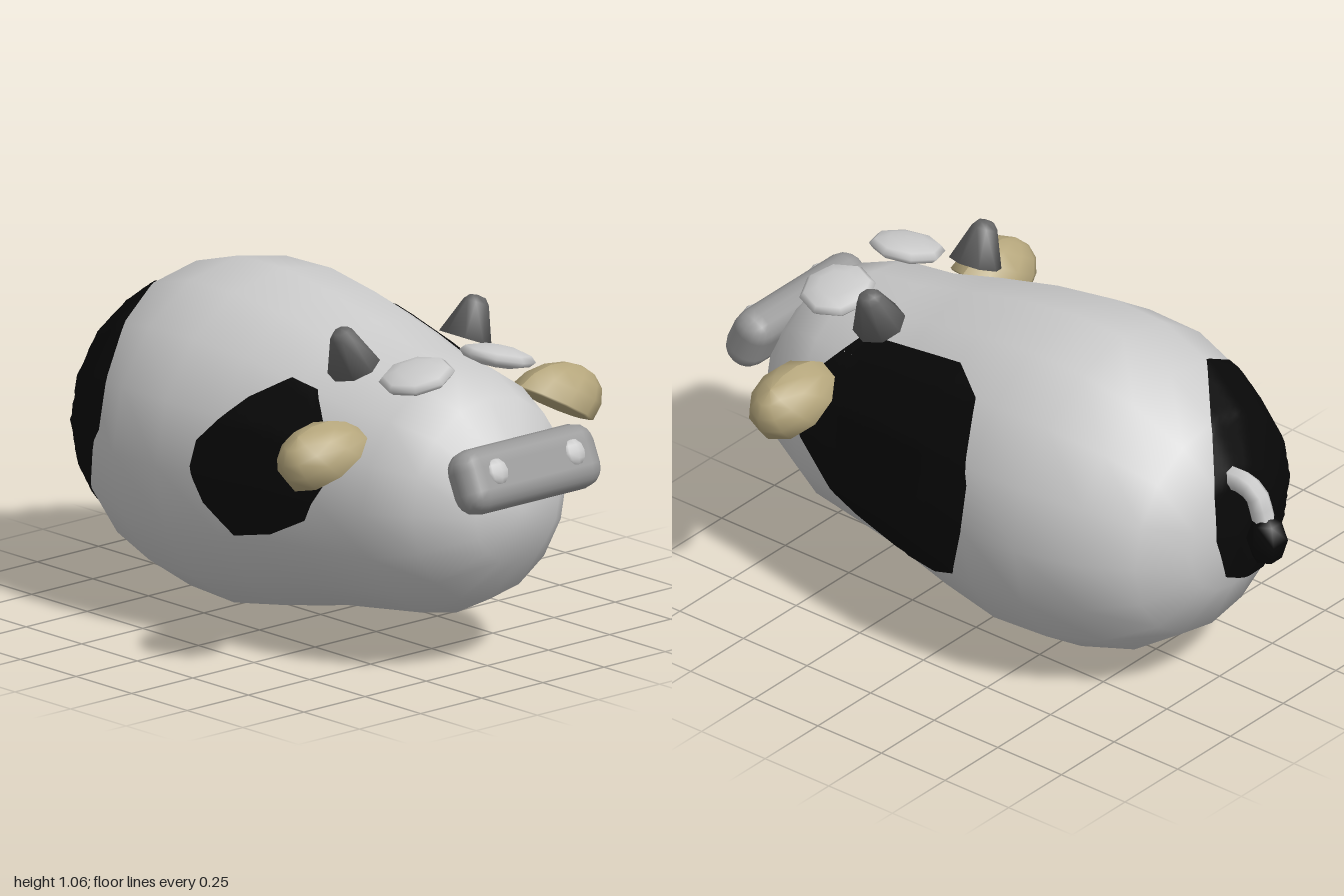
import * as THREE from 'three';
import { mergeVertices } from 'three/addons/utils/BufferGeometryUtils.js';
import { RoundedBoxGeometry } from 'three/addons/geometries/RoundedBoxGeometry.js';

const mat = (color) => new THREE.MeshStandardMaterial({ color, side: THREE.DoubleSide });
const GREY = mat(0xcccccc);
const SNOUT = mat(0x999999);
const HORN = mat(0x666666);
const EAR = mat(0xb5a67c);
const BLACK = mat(0x080808);

function part(parent, name, geometry, material, x = 0, y = 0, z = 0) {
  const mesh = new THREE.Mesh(geometry, material);
  mesh.name = name;
  mesh.position.set(x, y, z);
  parent.add(mesh);
  return mesh;
}

// Body cross-sections from nose to rump: z, half width, bottom y, top y
const RINGS = [
  [0.915, 0, 0.53, 0.53], [0.885, 0.17, 0.36, 0.69], [0.76, 0.315, 0.215, 0.85],
  [0.61, 0.385, 0.14, 0.91], [0.43, 0.41, 0.115, 0.93], [0.25, 0.445, 0.09, 0.98],
  [0.04, 0.487, 0.04, 1.03], [-0.17, 0.52, 0.003, 1.06], [-0.37, 0.516, 0.015, 1.055],
  [-0.56, 0.457, 0.07, 0.998], [-0.72, 0.365, 0.18, 0.888], [-0.805, 0.2, 0.35, 0.73],
  [-0.83, 0, 0.53, 0.53],
];
const SIDES = 16;

function bodyGeometry() {
  const pos = [], index = [];
  RINGS.forEach(([z, w, lo, hi], i) => {
    for (let j = 0; j < SIDES; j++) {
      const t = (j / SIDES) * Math.PI * 2;
      pos.push(w * Math.cos(t), (lo + hi) / 2 + ((hi - lo) / 2) * Math.sin(t), z);
      if (i === RINGS.length - 1) continue;
      const a = i * SIDES + j, b = i * SIDES + ((j + 1) % SIDES);
      const c = a + SIDES, d = b + SIDES;
      if (i > 0) index.push(a, c, b);
      else index.push(a, c, d);
      if (i > 0 && i < RINGS.length - 2) index.push(c, d, b);
    }
  });
  let geo = new THREE.BufferGeometry();
  geo.setAttribute('position', new THREE.Float32BufferAttribute(pos, 3));
  geo.setIndex(index);
  geo = mergeVertices(geo, 1e-4);
  geo.computeVertexNormals();
  return geo;
}

// Patch laid over the body: the outline is filled with rings, each point cast onto the skin
function spotGeometry(body, outline, originOf) {
  const EDGE = 6, STEPS = 16;
  const rim = [];
  outline.forEach((p, i) => {
    const q = outline[(i + 1) % outline.length];
    for (let k = 0; k < EDGE; k++) rim.push(p.clone().lerp(q, k / EDGE));
  });
  const centre = new THREE.Vector3();
  rim.forEach((p) => centre.addScaledVector(p, 1 / rim.length));
  const ray = new THREE.Raycaster();
  const pos = [], index = [], n = rim.length;
  for (let s = 0; s <= STEPS; s++) {
    rim.forEach((p, j) => {
      const target = centre.clone().lerp(p, s / STEPS);
      const origin = originOf(target);
      const dir = target.clone().sub(origin).normalize();
      ray.set(origin, dir);
      const hit = ray.intersectObject(body)[0];
      const v = (hit ? hit.point : target).clone().addScaledVector(dir, 0.005);
      pos.push(v.x, v.y, v.z);
      if (s === STEPS) return;
      const a = s * n + j, b = s * n + ((j + 1) % n);
      index.push(a, a + n, b, b, a + n, b + n);
    });
  }
  const geo = new THREE.BufferGeometry();
  geo.setAttribute('position', new THREE.Float32BufferAttribute(pos, 3));
  geo.setIndex(index);
  geo.computeVertexNormals();
  return geo;
}

// Leaf-like ear: flat below, domed above, the dome swept towards the tip
function earGeometry() {
  const geo = new THREE.SphereGeometry(1, 10, 8);
  const p = geo.attributes.position;
  for (let i = 0; i < p.count; i++) {
    const y = p.getY(i) * (p.getY(i) > 0 ? 0.14 : 0.015);
    p.setXYZ(i, p.getX(i) * 0.15 + y * 0.4, y, p.getZ(i) * 0.117);
  }
  geo.computeVertexNormals();
  return geo;
}

export function createModel() {
  const model = new THREE.Group();
  model.name = 'cow';
  const body = part(model, 'body', bodyGeometry(), GREY);
  body.updateMatrixWorld();

  // Side spots, outlined as z, y
  const sideSpots = {
    leftSpot: [1, [[0.59, 0.66], [0.59, 0.55], [0.48, 0.39], [0.4, 0.29], [0.23, 0.21], [0.05, 0.245],
      [-0.09, 0.33], [-0.165, 0.53], [-0.165, 0.68], [-0.09, 0.9], [0.04, 0.935], [0.25, 0.895],
      [0.46, 0.85], [0.55, 0.75]]],
    rightSpot: [-1, [[0.22, 0.86], [0.32, 0.84], [0.42, 0.72], [0.45, 0.58], [0.38, 0.46], [0.24, 0.39],
      [0.1, 0.36], [0, 0.45], [-0.04, 0.56], [-0.03, 0.64], [0.11, 0.79]]],
  };
  for (const [name, [side, pts]] of Object.entries(sideSpots)) {
    const outline = pts.map(([z, y]) => new THREE.Vector3(side, y, z));
    part(model, name, spotGeometry(body, outline, (p) => new THREE.Vector3(0, p.y, p.z)), BLACK);
  }
  // Rump spot, cast outwards from inside the belly
  const rump = [[0.09, 0.7, -0.79], [0, 0.89, -0.71], [-0.17, 0.96, -0.55], [-0.35, 0.86, -0.51],
    [-0.46, 0.72, -0.47], [-0.49, 0.58, -0.47], [-0.42, 0.35, -0.57], [-0.28, 0.26, -0.69],
    [-0.14, 0.31, -0.78], [0.05, 0.4, -0.82], [0.1, 0.55, -0.82]].map((p) => new THREE.Vector3(...p));
  part(model, 'rumpSpot', spotGeometry(body, rump, () => new THREE.Vector3(-0.05, 0.53, -0.3)), BLACK);

  // Snout, tipped back
  const snout = part(model, 'snout', new RoundedBoxGeometry(0.55, 0.202, 0.135, 2, 0.065), SNOUT, 0, 0.657, 0.916);
  snout.rotation.x = -0.42;

  for (const side of [1, -1]) {
    const label = side > 0 ? 'left' : 'right';

    const nostril = part(model, label + 'Nostril', new THREE.SphereGeometry(0.043, 8, 6), GREY, side * 0.157, 0.69, 0.965);
    nostril.scale.z = 0.6;
    nostril.rotation.x = -0.42;

    const eye = part(model, label + 'Eye', new THREE.SphereGeometry(0.118, 8, 6), GREY, side * 0.165, 0.918, 0.615);
    eye.scale.y = 0.28;
    eye.rotation.z = -side * 0.24;

    const horn = new THREE.Group();
    horn.name = label + 'Horn';
    horn.position.set(side * 0.228, 0.915, 0.4);
    horn.rotation.z = -side * 0.4;
    const profile = [[0, 0], [0.083, 0], [0.04, 0.115], [0.025, 0.133], [0, 0.137]];
    part(horn, 'hornCone', new THREE.LatheGeometry(profile.map((p) => new THREE.Vector2(...p)), 8), HORN);
    model.add(horn);

    const ear = new THREE.Group();
    ear.name = label + 'Ear';
    ear.rotation.y = side > 0 ? 0 : Math.PI;
    ear.position.set(side * 0.462, 0.697, 0.535);
    part(ear, 'earLeaf', earGeometry(), EAR).rotation.z = -0.53;
    model.add(ear);
  }

  // Tail and tuft
  const path = new THREE.CatmullRomCurve3([[0.72, -0.76], [0.725, -0.84], [0.7, -0.895], [0.62, -0.925]]
    .map(([y, z]) => new THREE.Vector3(0, y, z)));
  part(model, 'tail', new THREE.TubeGeometry(path, 6, 0.036, 7), GREY);
  const tuft = part(model, 'tailTuft', new THREE.SphereGeometry(1, 6, 4), BLACK, 0, 0.56, -0.937);
  tuft.scale.set(0.068, 0.088, 0.062);
  return model;
}
